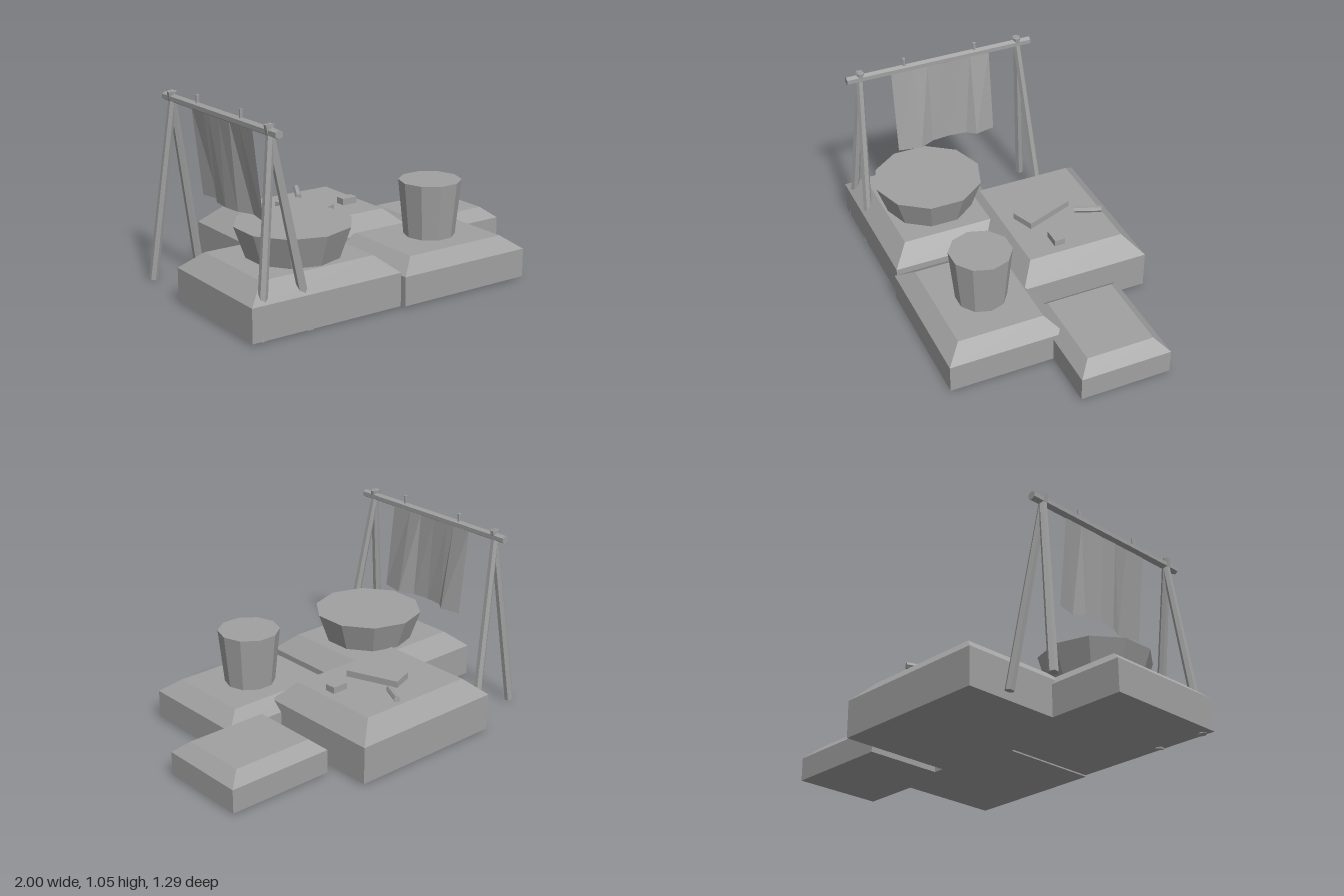
import * as THREE from 'three';

export function createModel() {
  const model = new THREE.Group();
  model.name = 'campDryingRack';
  const grey = new THREE.MeshStandardMaterial({ color: 0xa0a0a0, flatShading: true, side: THREE.DoubleSide });
  grey.name = 'plain grey';

  const add = (name, geometry, parent = model) => {
    const mesh = new THREE.Mesh(geometry, grey);
    mesh.name = name;
    parent.add(mesh);
    return mesh;
  };

  // Stone slab: upright sides up to a shoulder, then a bevel to a smaller top
  const slab = (name, [x0, x1, z0, z1], [tx0, tx1, tz0, tz1], shoulder, top) => {
    const geo = new THREE.BoxGeometry(1, 1, 1, 1, 2, 1);
    const p = geo.attributes.position;
    for (let i = 0; i < p.count; i++) {
      const y = p.getY(i), right = p.getX(i) > 0, front = p.getZ(i) > 0;
      if (y > 0.25) p.setXYZ(i, right ? tx1 : tx0, top, front ? tz1 : tz0);
      else p.setXYZ(i, right ? x1 : x0, y < -0.25 ? 0.01 : shoulder, front ? z1 : z0);
    }
    geo.computeVertexNormals();
    add(name, geo);
  };
  slab('backSlab', [-0.57, 0.335, -0.65, 0.075], [-0.46, 0.225, -0.555, -0.01], 0.215, 0.31);
  slab('rackSlab', [-1, -0.13, -0.095, 0.622], [-0.895, -0.235, 0, 0.53], 0.187, 0.275);
  slab('frontSlab', [-0.115, 0.675, 0, 0.64], [-0.02, 0.58, 0.08, 0.555], 0.165, 0.235);
  slab('sideSlab', [0.395, 1, -0.44, 0.065], [0.465, 0.925, -0.375, 0], 0.14, 0.2);

  // Ten-sided basin and bucket
  const basin = add('basin', new THREE.CylinderGeometry(0.305, 0.243, 0.175, 10));
  basin.position.set(-0.54, 0.3525, 0.27);
  const bucket = add('bucket', new THREE.CylinderGeometry(0.168, 0.136, 0.31, 10));
  bucket.position.set(0.3, 0.38, 0.308);
  bucket.rotation.y = Math.PI / 2;

  // Round stick between two points
  const stick = (name, from, to, r0, r1, sides, parent) => {
    const a = new THREE.Vector3(...from), b = new THREE.Vector3(...to);
    const mesh = add(name, new THREE.CylinderGeometry(r1, r0, a.distanceTo(b), sides), parent);
    mesh.position.copy(a).lerp(b, 0.5);
    mesh.quaternion.setFromUnitVectors(new THREE.Vector3(0, 1, 0), b.sub(a).normalize());
  };

  // Drying rack: two crossed leg pairs, rail and pegs
  const rack = new THREE.Group();
  rack.name = 'rack';
  model.add(rack);
  for (const [zFoot, zTop] of [[0.6, 0.53], [-0.48, -0.405]]) {
    stick('leftLeg', [-0.662, 0.005, zFoot], [-0.84, 1.025, zTop], 0.025, 0.021, 6, rack);
    stick('rightLeg', [-0.942, 0.005, zFoot], [-0.825, 1.025, zTop], 0.025, 0.021, 6, rack);
  }
  stick('rail', [-0.83, 0.988, -0.485], [-0.83, 0.988, 0.61], 0.023, 0.023, 6, rack);
  for (const z of [0.275, -0.145])
    stick('peg', [-0.83, 0.97, z], [-0.83, 1.05, z], 0.01, 0.01, 6, rack);

  // Hanging cloth, gathered at the rail and rippled at the hem: [z, top y, hem x]
  const folds = [
    [0.355, 0.975, -0.765], [0.225, 0.985, -0.74], [0.14, 0.977, -0.78], [0.04, 0.968, -0.79],
    [-0.065, 0.975, -0.78], [-0.115, 0.985, -0.74], [-0.23, 0.975, -0.765],
  ];
  const cloth = new THREE.PlaneGeometry(1, 1, folds.length - 1, 1);
  folds.forEach(([z, top, hem], i) => {
    cloth.attributes.position.setXYZ(i, -0.82, top, z);
    cloth.attributes.position.setXYZ(i + folds.length, hem, 0.5, z);
  });
  cloth.computeVertexNormals();
  add('cloth', cloth, rack);

  // Small things lying on the back slab
  const board = add('board', new THREE.BoxGeometry(0.135, 0.037, 0.3));
  board.position.set(-0.133, 0.327, -0.243);
  board.rotation.y = 0.36;
  const block = add('smallBlock', new THREE.BoxGeometry(0.092, 0.037, 0.06));
  block.position.set(0.129, 0.327, -0.21);
  stick('looseStick', [-0.06, 0.327, -0.41], [0.012, 0.339, -0.545], 0.018, 0.018, 6);

  return model;
}
